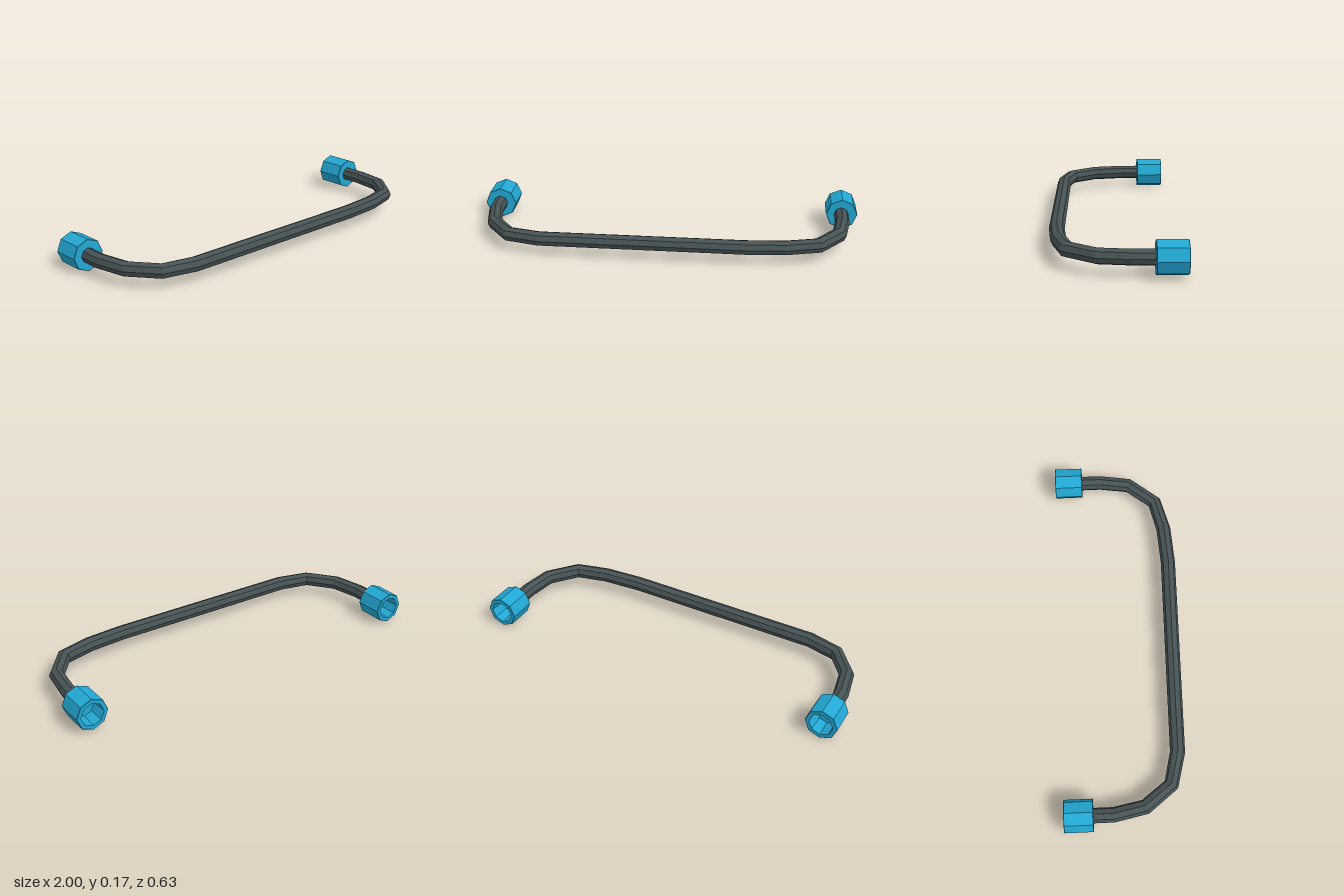
import * as THREE from 'three';

const SIDES = 8;
const PIPE_RADIUS = 0.038;

// Faceted normals for the low-poly look
function faceted(geometry) {
  const flat = geometry.toNonIndexed();
  flat.computeVertexNormals();
  return flat;
}

// Octagonal pipe with mitred rings along a path
function pipeGeometry(path, radius) {
  const up = new THREE.Vector3(0, 1, 0);
  const positions = [];
  const indices = [];
  path.forEach((point, i) => {
    const before = path[Math.max(i - 1, 0)];
    const after = path[Math.min(i + 1, path.length - 1)];
    const tangent = point.clone().sub(before).normalize()
      .add(after.clone().sub(point).normalize()).normalize();
    const side = up.clone().cross(tangent).normalize();
    for (let j = 0; j < SIDES; j++) {
      const angle = (j / SIDES) * Math.PI * 2;
      const p = point.clone()
        .addScaledVector(side, Math.cos(angle) * radius)
        .addScaledVector(up, Math.sin(angle) * radius);
      positions.push(p.x, p.y, p.z);
      if (i < path.length - 1) {
        const a = i * SIDES + j;
        const b = i * SIDES + ((j + 1) % SIDES);
        indices.push(a, b, a + SIDES, b, b + SIDES, a + SIDES);
      }
    }
  });
  const geometry = new THREE.BufferGeometry();
  geometry.setAttribute('position', new THREE.Float32BufferAttribute(positions, 3));
  geometry.setIndex(indices);
  return faceted(geometry);
}

// Octagonal socket, closed at the pipe and hollow at the back
function socketGeometry() {
  const profile = [
    [0, 0.17], [0.08, 0.17], [0.082, 0.172], [0.082, 0.313],
    [0.08, 0.315], [0.06, 0.315], [0.054, 0.23], [0, 0.23],
  ].map(([r, y]) => new THREE.Vector2(r, y));
  const geometry = new THREE.LatheGeometry(profile, SIDES);
  geometry.rotateX(-Math.PI / 2);
  return faceted(geometry);
}

export function createModel() {
  const model = new THREE.Group();
  model.name = 'handle';

  const pipeMaterial = new THREE.MeshStandardMaterial({ color: 0x465254 });
  pipeMaterial.name = 'dark slate';
  const socketMaterial = new THREE.MeshStandardMaterial({ color: 0x22a8d4 });
  socketMaterial.name = 'bright blue';

  // Bent bar, rising very slightly toward its left end
  const path = [
    [-0.92, -0.2], [-0.92, -0.07], [-0.888, 0.088], [-0.783, 0.222], [-0.62, 0.263],
    [0.42, 0.276], [0.62, 0.263], [0.783, 0.222], [0.892, 0.085], [0.915, -0.07], [0.915, -0.2],
  ].map(([x, z]) => new THREE.Vector3(x, 0.0865 + x * 0.004, z));
  const bar = new THREE.Mesh(pipeGeometry(path, PIPE_RADIUS), pipeMaterial);
  bar.name = 'bentBar';
  model.add(bar);

  // End sockets
  const socket = socketGeometry();
  for (const [name, x, y] of [['rightSocket', -0.918, 0.082], ['leftSocket', 0.918, 0.09]]) {
    const mesh = new THREE.Mesh(socket, socketMaterial);
    mesh.name = name;
    mesh.position.set(x, y, 0);
    model.add(mesh);
  }

  return model;
}
